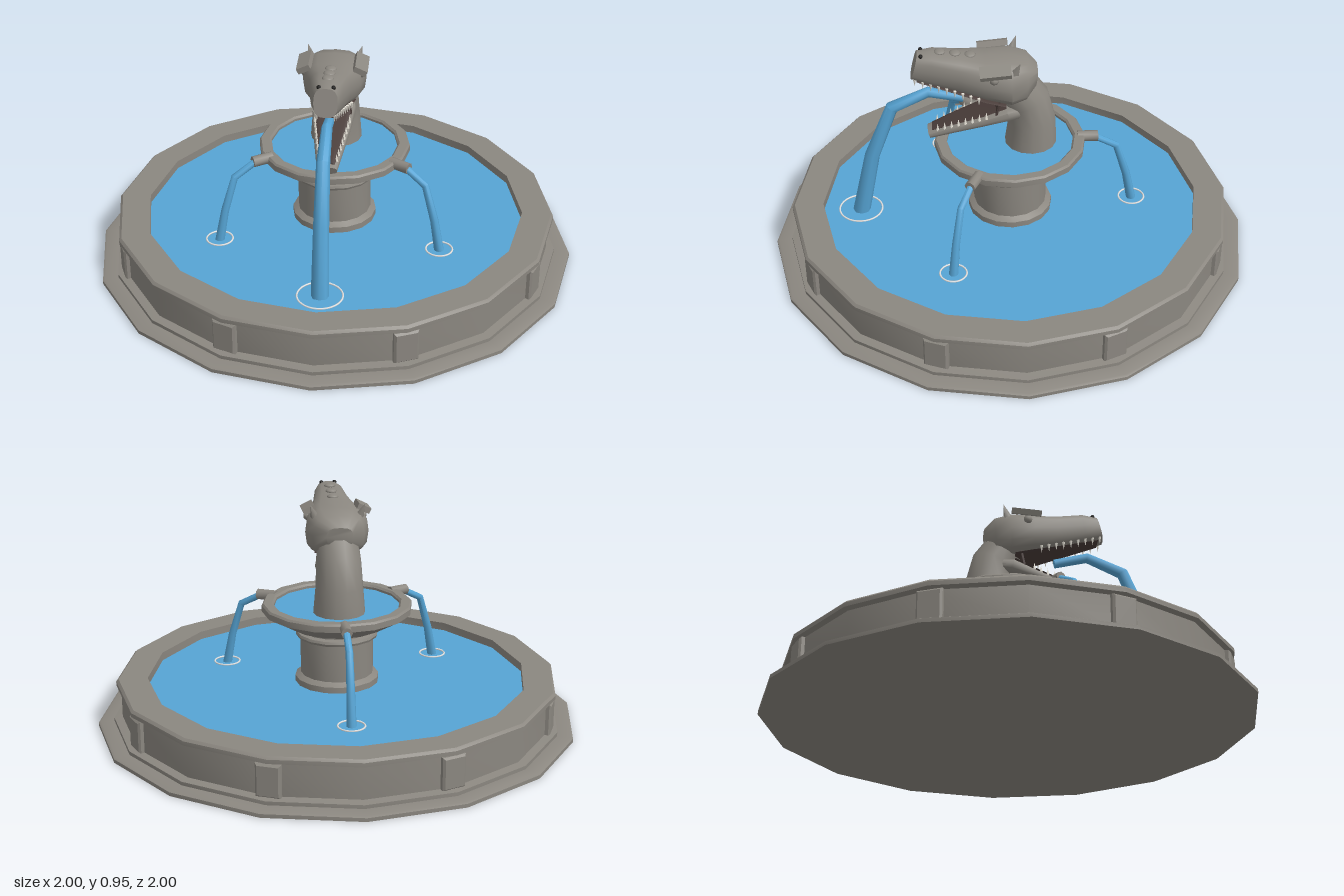
import * as THREE from 'three';
import { toCreasedNormals } from 'three/addons/utils/BufferGeometryUtils.js';

const material = (name, color, side = THREE.FrontSide) => {
  const m = new THREE.MeshStandardMaterial({ color, side });
  m.name = name;
  return m;
};

// Skin a list of rings (arrays of Vector3) and cap both ends
function loft(rings, crease = 0.75) {
  const n = rings[0].length, pos = [], idx = [];
  rings.forEach(r => r.forEach(p => pos.push(p.x, p.y, p.z)));
  for (let i = 0; i < rings.length - 1; i++) {
    for (let j = 0; j < n; j++) {
      const a = i * n + j, b = i * n + (j + 1) % n;
      idx.push(a, b, a + n, b, b + n, a + n);
    }
  }
  const last = (rings.length - 1) * n;
  for (let j = 1; j < n - 1; j++) idx.push(0, j + 1, j, last, last + j, last + j + 1);
  const g = new THREE.BufferGeometry();
  g.setAttribute('position', new THREE.Float32BufferAttribute(pos, 3));
  g.setIndex(idx);
  return toCreasedNormals(g, crease);
}

// Tapered tube in the yz plane; each point is [z, y, radius]
function taperTube(points, sides = 8) {
  const c = points.map(([z, y]) => new THREE.Vector3(0, y, z));
  const side = new THREE.Vector3(1, 0, 0);
  return loft(c.map((p, i) => {
    const t = c[Math.min(i + 1, c.length - 1)].clone().sub(c[Math.max(i - 1, 0)]).normalize();
    const up = t.cross(side);
    return Array.from({ length: sides }, (_, k) => {
      const a = k / sides * Math.PI * 2, r = points[i][2];
      return p.clone().addScaledVector(side, r * Math.cos(a)).addScaledVector(up, r * Math.sin(a));
    });
  }), 0.9);
}

// Rounded-box sections from back to front: [zTop, yTop, zBottom, yBottom, halfWidth]
function skull(sections, sides = 16) {
  const pw = v => Math.sign(v) * Math.abs(v) ** 0.7;
  return loft(sections.map(([zt, yt, zb, yb, w]) => Array.from({ length: sides }, (_, k) => {
    const a = k / sides * Math.PI * 2, f = (pw(Math.sin(a)) + 1) / 2;
    return new THREE.Vector3(w * pw(Math.cos(a)), yb + (yt - yb) * f, zb + (zt - zb) * f);
  })));
}

const lathe = (pts, sides = 16) =>
  toCreasedNormals(new THREE.LatheGeometry(pts.map(p => new THREE.Vector2(...p)), sides), 0.5);

export function createModel() {
  const stone = material('stone', 0x8b8780);
  const water = material('water', 0x56a4d4);
  const mouth = material('dark mouth', 0x4a3d3a, THREE.DoubleSide);
  const ivory = material('ivory', 0xe9e5da);
  const foam = material('foam', 0xf2f4f5);
  const black = material('black', 0x1c1b1a);

  const model = new THREE.Group();
  model.name = 'fountain';
  const add = (name, geo, mat, x = 0, y = 0, z = 0, parent = model) => {
    const m = new THREE.Mesh(geo, mat);
    m.name = name;
    m.position.set(x, y, z);
    parent.add(m);
    return m;
  };

  // Basin with stepped plinth and coping
  add('basin', lathe([[0, 0], [1, 0], [1, 0.015], [0.99, 0.02], [0.935, 0.02], [0.935, 0.035],
    [0.9, 0.04], [0.9, 0.17], [0.92, 0.178], [0.92, 0.195], [0.91, 0.205], [0.79, 0.205], [0.79, 0.15]]), stone);
  add('basinWater', lathe([[0.795, 0.17], [0, 0.17]]), water);

  // Pilasters around the wall
  const block = new THREE.Shape([[-0.05, 0.035], [0.05, 0.035], [0.05, 0.17], [-0.05, 0.17]]
    .map(p => new THREE.Vector2(...p)));
  const pilasterGeo = new THREE.ExtrudeGeometry(block,
    { depth: 0.04, bevelEnabled: true, bevelSize: 0.008, bevelOffset: -0.008, bevelThickness: 0.008, bevelSegments: 1 });
  for (let i = 0; i < 8; i++) {
    const a = (i + 0.5) * Math.PI / 4;
    add('pilaster', pilasterGeo, stone, Math.sin(a) * 0.864, 0, Math.cos(a) * 0.864).rotation.y = a;
  }

  // Pedestal and upper bowl
  add('pedestal', lathe([[0.175, 0.15], [0.175, 0.195], [0.152, 0.21], [0.152, 0.365], [0.168, 0.37],
    [0.172, 0.38], [0.168, 0.39], [0.15, 0.395], [0.15, 0.43]]), stone);
  add('bowl', lathe([[0, 0.41], [0.18, 0.41], [0.205, 0.42], [0.3, 0.475], [0.312, 0.48],
    [0.312, 0.505], [0.305, 0.513], [0.27, 0.513], [0.262, 0.505], [0.262, 0.48]]), stone);
  add('bowlWater', lathe([[0.266, 0.495], [0, 0.495]]), water);

  // Three side spouts with falling jets
  const spoutGeo = taperTube([[0.28, 0.5, 0.023], [0.365, 0.497, 0.023]]);
  const jetGeo = taperTube([[0.35, 0.497, 0.014], [0.445, 0.445, 0.015], [0.492, 0.3, 0.017], [0.52, 0.165, 0.02]]);
  for (const a of [Math.PI / 3, -Math.PI / 3, Math.PI]) {
    const g = new THREE.Group();
    g.name = 'sideSpout';
    g.rotation.y = a;
    model.add(g);
    add('spout', spoutGeo, stone, 0, 0, 0, g);
    add('jet', jetGeo, water, 0, 0, 0, g);
    add('splash', new THREE.TorusGeometry(0.054, 0.004, 5, 24), foam, 0, 0.173, 0.52, g).rotation.x = Math.PI / 2;
  }

  // Main jet from the mouth
  add('mainJet', taperTube([[0.19, 0.715, 0.02], [0.33, 0.748, 0.022], [0.48, 0.68, 0.027],
    [0.57, 0.45, 0.031], [0.63, 0.165, 0.036]]), water);
  add('mainSplash', new THREE.TorusGeometry(0.09, 0.004, 5, 32), foam, 0, 0.173, 0.632).rotation.x = Math.PI / 2;

  // Creature: neck, skull and jaw
  add('neck', taperTube([[-0.085, 0.48, 0.108], [-0.09, 0.6, 0.098], [-0.07, 0.7, 0.092], [-0.01, 0.79, 0.085]], 14), stone);
  add('head', skull([
    [-0.11, 0.855, -0.1, 0.775, 0.055], [-0.07, 0.895, -0.06, 0.73, 0.105], [0, 0.912, 0, 0.715, 0.13],
    [0.1, 0.912, 0.1, 0.74, 0.115], [0.2, 0.925, 0.2, 0.768, 0.083], [0.31, 0.942, 0.32, 0.8, 0.064],
    [0.37, 0.935, 0.398, 0.825, 0.047]]), stone);
  add('lowerJaw', skull([
    [-0.06, 0.705, -0.07, 0.65, 0.08], [0.02, 0.7, 0.0, 0.633, 0.09], [0.12, 0.655, 0.1, 0.608, 0.078],
    [0.24, 0.612, 0.22, 0.572, 0.058], [0.338, 0.575, 0.325, 0.54, 0.04]]), stone);

  // Dark mouth lining
  add('palate', skull([[0.02, 0.722, 0.02, 0.714, 0.09], [0.1, 0.742, 0.1, 0.735, 0.085],
    [0.2, 0.77, 0.2, 0.763, 0.065], [0.375, 0.822, 0.375, 0.815, 0.035]]), mouth);
  add('mouthFloor', skull([[0.02, 0.703, 0.02, 0.697, 0.075], [0.12, 0.659, 0.12, 0.652, 0.064],
    [0.24, 0.615, 0.24, 0.609, 0.046], [0.32, 0.584, 0.32, 0.578, 0.03]]), mouth);
  add('throat', new THREE.BoxGeometry(0.15, 0.1, 0.008), mouth, 0, 0.715, 0.05).rotation.x = -0.2;

  // Teeth along both jaws
  const lerp = THREE.MathUtils.lerp;
  const tooth = new THREE.ConeGeometry(0.007, 0.034, 5);
  for (const s of [-1, 1]) {
    for (let i = 0; i < 9; i++) {
      const t = i / 8;
      add('upperTooth', tooth, ivory, s * lerp(0.08, 0.034, t), lerp(0.742, 0.817, t), lerp(0.13, 0.383, t)).rotation.x = Math.PI;
      if (i < 8) add('lowerTooth', tooth, ivory, s * lerp(0.07, 0.03, t), lerp(0.668, 0.588, t), lerp(0.1, 0.325, t));
    }
    // Brow, horn, eye and nostril
    const brow = add('brow', new THREE.BoxGeometry(0.055, 0.024, 0.125), stone, s * 0.112, 0.898, 0.065);
    brow.rotation.set(0.08, 0, -s * 0.45);
    const horn = add('horn', new THREE.ConeGeometry(0.022, 0.07, 5), stone, s * 0.1, 0.902, -0.022);
    horn.rotation.set(-0.35, 0, -s * 0.3);
    add('eye', new THREE.SphereGeometry(0.019, 10, 8), stone, s * 0.112, 0.862, 0.07);
    add('nostril', new THREE.SphereGeometry(0.009, 8, 6), black, s * 0.028, 0.933, 0.355);
  }

  // Bumps along the snout
  [[0.16, 0.918], [0.22, 0.927], [0.28, 0.936]].forEach(([z, y]) =>
    add('snoutBump', new THREE.SphereGeometry(0.024, 10, 8), stone, 0, y, z).scale.y = 0.45);

  return model;
}
